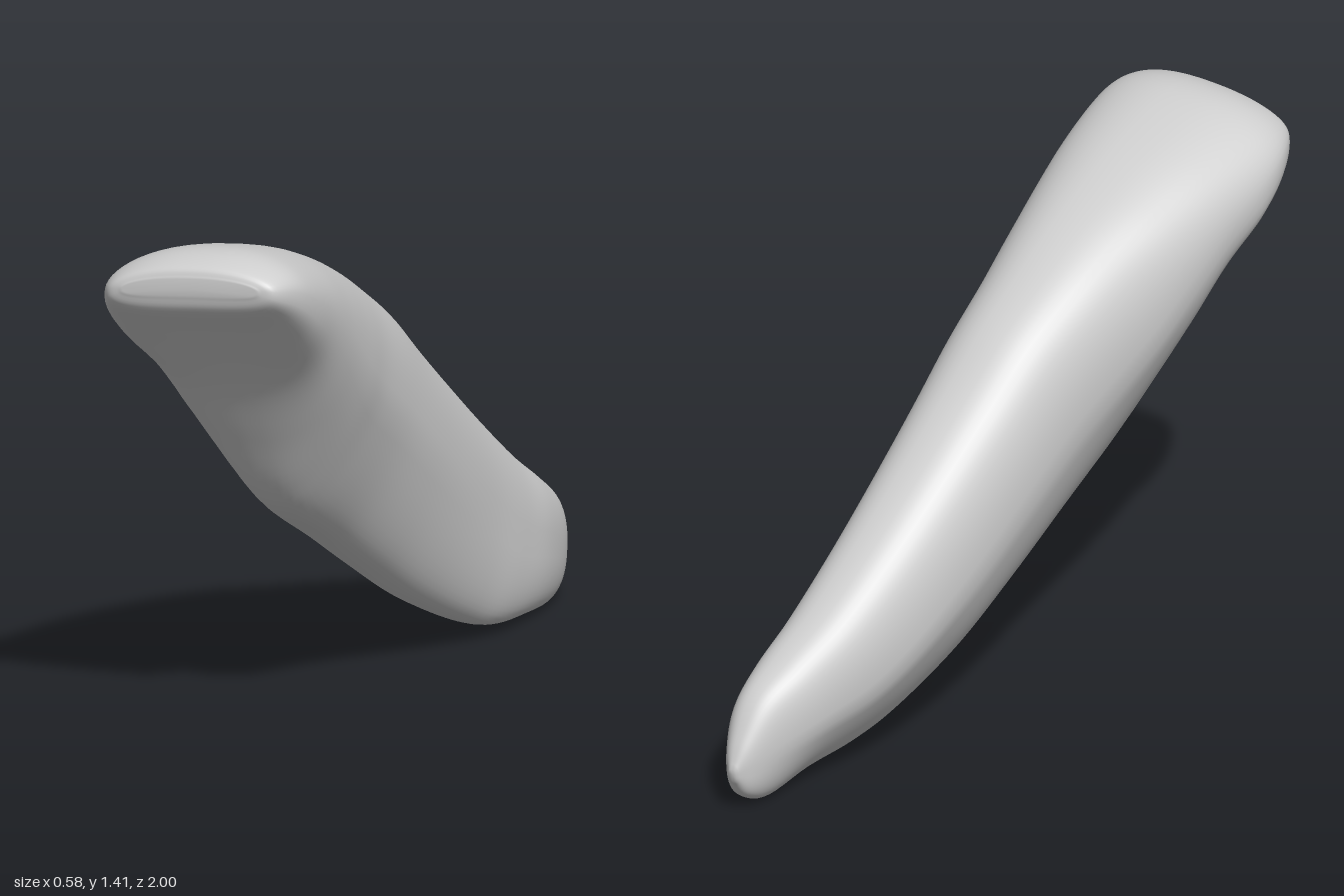
import * as THREE from 'three';

// Cross-sections from biting edge to root tip:
// [topZ, topY, bottomZ, bottomY, rightX, leftX, lower taper, lower shift in x]
const SECTIONS = [
  [1.0, 1.37, 1.0, 1.325, -0.19, 0.185, 0, 0],
  [0.98, 1.4, 0.98, 1.275, -0.242, 0.235, 0, 0],
  [0.9, 1.42, 0.9, 1.2, -0.28, 0.268, 0, 0],
  [0.8, 1.41, 0.8, 1.1, -0.29, 0.28, 0.03, 0],
  [0.62, 1.36, 0.7, 0.98, -0.275, 0.276, 0.1, 0],
  [0.45, 1.295, 0.6, 0.82, -0.255, 0.268, 0.2, 0],
  [0.3, 1.225, 0.5, 0.66, -0.23, 0.26, 0.38, 0],
  [0.15, 1.14, 0.4, 0.56, -0.202, 0.25, 0.42, 0],
  [0, 1.04, 0.2, 0.44, -0.165, 0.247, 0.38, 0],
  [-0.15, 0.91, 0, 0.31, -0.132, 0.25, 0.35, 0.01],
  [-0.32, 0.77, -0.2, 0.18, -0.1, 0.255, 0.33, 0.03],
  [-0.5, 0.62, -0.4, 0.075, -0.058, 0.264, 0.33, 0.055],
  [-0.68, 0.47, -0.53, 0.03, -0.004, 0.28, 0.33, 0.055],
  [-0.8, 0.378, -0.7, 0.015, 0.058, 0.289, 0.28, 0.04],
  [-0.9, 0.3, -0.86, 0.003, 0.118, 0.277, 0.15, 0.01],
  [-0.965, 0.205, -0.95, 0.035, 0.158, 0.245, 0, 0],
  [-1.0, 0.13, -0.995, 0.095, 0.188, 0.212, 0, 0],
];

const curve = (pick) => new THREE.CatmullRomCurve3(
  SECTIONS.map((s) => new THREE.Vector3(...pick(s))), false, 'catmullrom', 0.5);

function toothGeometry(rings = 96, sides = 56) {
  const top = curve((s) => [s[4], s[1], s[0]]);
  const bottom = curve((s) => [s[5], s[3], s[2]]);
  const form = curve((s) => [s[6], s[7], 0]);
  const positions = [];
  const indices = [];
  const rounded = (c) => Math.sign(c) * Math.abs(c) ** (2 / 2.5);

  // Rounded rings, narrower below and drooping at one corner of the crown
  for (let i = 0; i <= rings; i++) {
    const t = i / rings;
    const a = top.getPoint(t);
    const b = bottom.getPoint(t);
    const f = form.getPoint(t);
    const slump = 0.045 * THREE.MathUtils.smoothstep(a.z, 0, 0.9);
    for (let j = 0; j < sides; j++) {
      const angle = (j / sides) * Math.PI * 2;
      const u = rounded(Math.cos(angle));
      const v = rounded(Math.sin(angle));
      const low = Math.max(0, -v);
      const x = (a.x + b.x) / 2 + ((b.x - a.x) / 2) * u * (1 - f.x * low) + f.y * low;
      const k = (v + 1) / 2;
      const droop = slump * (Math.max(0, 0.15 - x) / 0.4) ** 2;
      positions.push(x, b.y + (a.y - b.y) * k - droop, b.z + (a.z - b.z) * k);
    }
  }
  for (let i = 0; i < rings; i++) {
    for (let j = 0; j < sides; j++) {
      const p = i * sides + j;
      const q = i * sides + ((j + 1) % sides);
      indices.push(p, p + sides, q, q, p + sides, q + sides);
    }
  }

  // Close both ends
  for (const end of [0, rings]) {
    const start = end * sides;
    const centre = positions.length / 3;
    const sum = [0, 0, 0];
    for (let j = 0; j < sides; j++) {
      for (let c = 0; c < 3; c++) sum[c] += positions[(start + j) * 3 + c] / sides;
    }
    positions.push(...sum);
    for (let j = 0; j < sides; j++) {
      const p = start + j;
      const q = start + ((j + 1) % sides);
      if (end === 0) indices.push(centre, p, q);
      else indices.push(centre, q, p);
    }
  }

  const geometry = new THREE.BufferGeometry();
  geometry.setAttribute('position', new THREE.Float32BufferAttribute(positions, 3));
  geometry.setIndex(indices);
  geometry.computeVertexNormals();
  return geometry;
}

export function createModel() {
  const group = new THREE.Group();
  group.name = 'incisorTooth';
  const enamel = new THREE.MeshStandardMaterial({ color: 0xcecece });
  enamel.name = 'light grey enamel';
  const tooth = new THREE.Mesh(toothGeometry(), enamel);
  tooth.name = 'crownAndRoot';
  group.add(tooth);
  return group;
}
